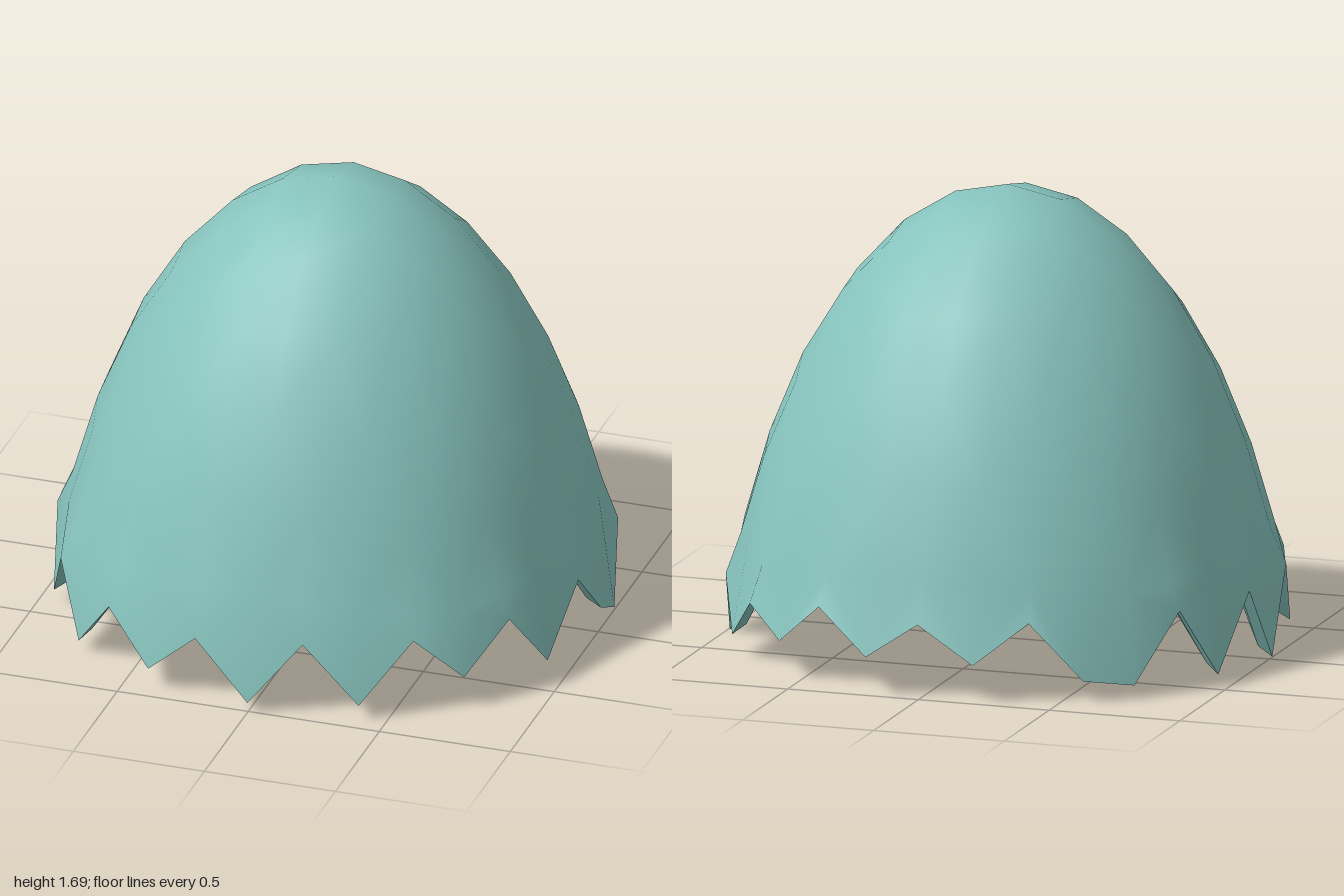
import * as THREE from 'three';

// Rim heights around the 32 columns, from the front (+z) towards +x
const TEETH = [
  0.04, 0.30, 0.06, 0.31, 0.13, 0.31, 0.07, 0.31, 0.10, 0.00, 0.26, 0.08, 0.24, 0.14, 0.30, 0.14,
  0.28, 0.14, 0.30, 0.08, 0.05, 0.30, 0.03, 0.30, 0.01, 0.31, 0.05, 0.28, 0.04, 0.26, 0.08, 0.26,
];
const WALL = 0.055;

const average = (list) =>
  list.reduce((sum, v) => sum.add(v), new THREE.Vector3()).divideScalar(list.length);

// One Catmull-Clark step on a closed quad mesh
function subdivide({ verts, faces }) {
  const out = [], quads = [], edges = new Map();
  const around = verts.map(() => ({ centres: [], mids: [] }));
  const centres = faces.map((f) => average(f.map((i) => verts[i])));
  const key = (a, b) => (a < b ? `${a},${b}` : `${b},${a}`);

  faces.forEach((f, k) => f.forEach((a, i) => {
    const b = f[(i + 1) % 4], id = key(a, b);
    around[a].centres.push(centres[k]);
    if (!edges.has(id)) {
      edges.set(id, { a, b, centres: [] });
      const mid = average([verts[a], verts[b]]);
      around[a].mids.push(mid);
      around[b].mids.push(mid);
    }
    edges.get(id).centres.push(centres[k]);
  }));

  verts.forEach((p, i) => {
    const n = around[i].centres.length;
    out.push(average(around[i].centres)
      .addScaledVector(average(around[i].mids), 2)
      .addScaledVector(p, n - 3).divideScalar(n));
  });
  edges.forEach((e) => {
    e.index = out.push(average([verts[e.a], verts[e.b], ...e.centres])) - 1;
  });
  faces.forEach((f, k) => {
    const c = out.push(centres[k]) - 1;
    f.forEach((a, i) => quads.push([
      a, edges.get(key(a, f[(i + 1) % 4])).index, c, edges.get(key(f[(i + 3) % 4], a)).index,
    ]));
  });
  return { verts: out, faces: quads };
}

// Rounded ball: a cube smoothed three times, scaled to unit radius at the face centres
function makeBall() {
  const verts = [];
  for (let i = 0; i < 8; i++) {
    verts.push(new THREE.Vector3(i & 1 ? 1 : -1, i & 2 ? 1 : -1, i & 4 ? 1 : -1));
  }
  let ball = {
    verts,
    faces: [[4, 5, 7, 6], [1, 0, 2, 3], [5, 1, 3, 7], [0, 4, 6, 2], [6, 7, 3, 2], [0, 1, 5, 4]],
  };
  for (let i = 0; i < 3; i++) ball = subdivide(ball);
  const radius = Math.max(...ball.verts
    .filter((v) => Math.hypot(v.x, v.z) < 1e-6).map((v) => v.y));
  ball.verts.forEach((v) => v.divideScalar(radius));
  return ball;
}

function quadGeometry(points, quads) {
  const geometry = new THREE.BufferGeometry().setFromPoints(points);
  geometry.setIndex(quads.flatMap(([a, b, c, d]) => [a, b, c, a, c, d]));
  geometry.computeVertexNormals();
  return geometry;
}

export function createModel() {
  const group = new THREE.Group();
  group.name = 'brokenEggshell';
  const shell = new THREE.MeshStandardMaterial({ color: 0x87c3bd });
  shell.name = 'paleTeal';

  // Keep the upper half, dropping unused points
  const ball = makeBall();
  const remap = new Map(), kept = [];
  const faces = ball.faces
    .filter((f) => f.every((i) => ball.verts[i].y > 0.05))
    .map((f) => f.map((i) => {
      if (!remap.has(i)) remap.set(i, kept.push(ball.verts[i]) - 1);
      return remap.get(i);
    }));

  // Stretch into an egg and pull the lowest row into teeth
  const isRim = kept.map((v) => v.y < 0.24);
  const outer = kept.map((v, i) => {
    const s = 1.03 - 0.04 * v.y * v.y;
    const column = (Math.round(Math.atan2(v.x, v.z) / (Math.PI / 16)) + 32) % 32;
    const y = isRim[i] ? TEETH[column] : Math.max(0.38, -0.13 + 1.22 * v.y + 0.6 * v.y * v.y);
    return new THREE.Vector3(v.x * s, y, v.z * s);
  });
  const outerGeometry = quadGeometry(outer, faces);

  // Inner wall, offset along the normals
  const normals = outerGeometry.getAttribute('normal');
  const inner = outer.map((p, i) => {
    const q = p.clone().addScaledVector(new THREE.Vector3().fromBufferAttribute(normals, i), -WALL);
    if (isRim[i]) q.y = p.y + 0.035;
    return q;
  });
  const innerGeometry = quadGeometry(inner, faces.map((f) => [...f].reverse()));

  // Broken edge joining the two walls, with its own hard normals
  const edgePoints = [], edgeQuads = [];
  faces.forEach((f) => f.forEach((a, i) => {
    const b = f[(i + 1) % 4];
    if (!isRim[a] || !isRim[b]) return;
    const n = edgePoints.length;
    edgePoints.push(outer[b], outer[a], inner[a], inner[b]);
    edgeQuads.push([n, n + 1, n + 2, n + 3]);
  }));

  const parts = {
    outerShell: outerGeometry,
    innerShell: innerGeometry,
    jaggedEdge: quadGeometry(edgePoints, edgeQuads),
  };
  for (const [name, geometry] of Object.entries(parts)) {
    const mesh = new THREE.Mesh(geometry, shell);
    mesh.name = name;
    group.add(mesh);
  }
  return group;
}
